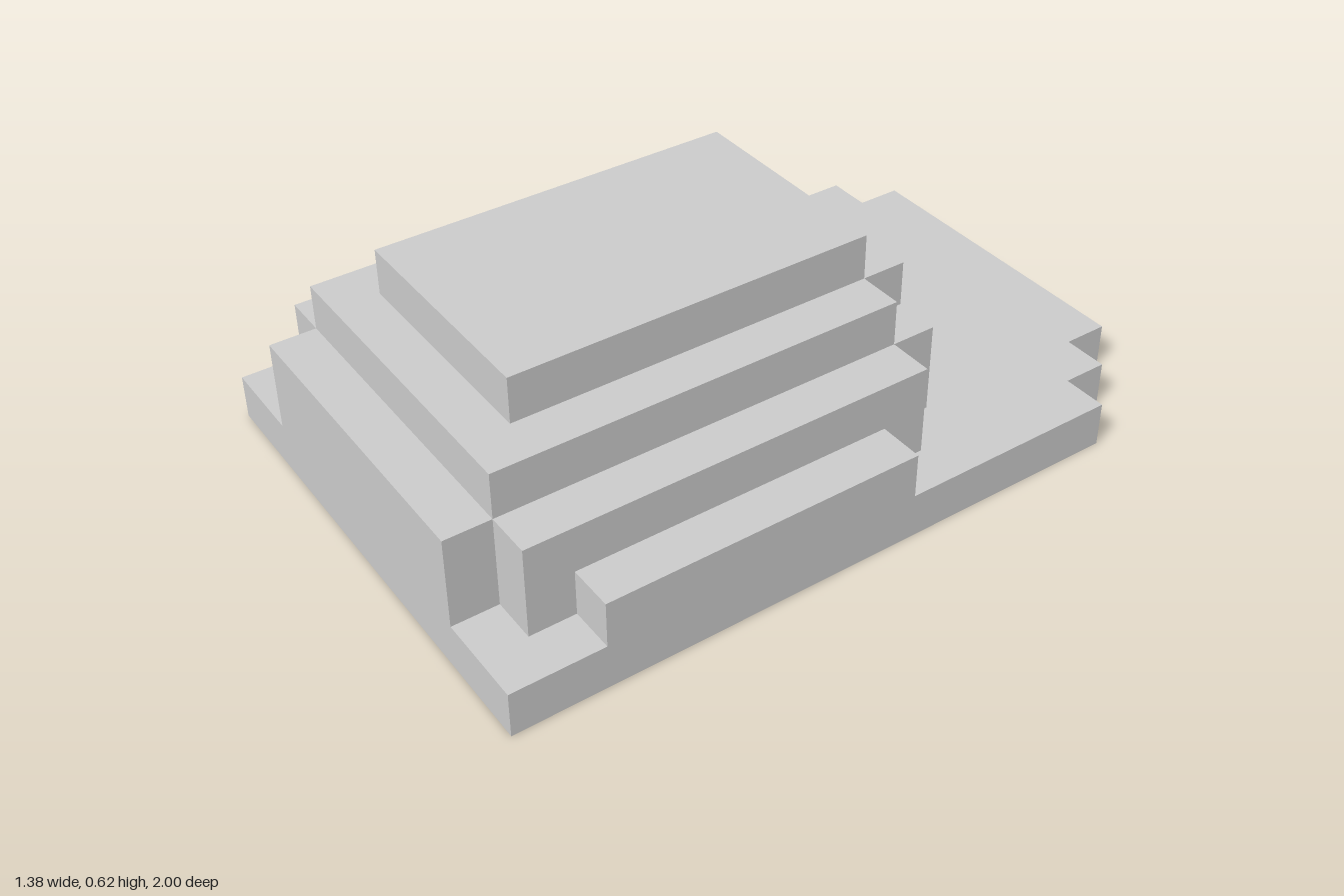
import * as THREE from 'three';

const U = 0.125; // one block

export function createModel() {
  const model = new THREE.Group();
  const material = new THREE.MeshStandardMaterial({ color: 0xcccccc, flatShading: true });

  // Stepped slab, mirrored about x = 0. Each band is [half width, back z, front z]
  // in blocks, listed from front to back.
  function slab(name, bottom, top, bands) {
    const side = bands.flatMap(([w, back, front]) => [[w, front], [w, back]]);
    const outline = [...side, ...side.map(([w, z]) => [-w, z]).reverse()];
    const shape = new THREE.Shape(outline.map(([x, z]) => new THREE.Vector2(x * U, -z * U)));
    const geometry = new THREE.ExtrudeGeometry(shape, { depth: (top - bottom) * U, bevelEnabled: false });
    geometry.rotateX(-Math.PI / 2).translate(0, bottom * U, 0);
    const mesh = new THREE.Mesh(geometry, material);
    mesh.name = name;
    model.add(mesh);
  }

  // Base with stepped rear corners
  slab('base', 0, 1, [[5.5, -6, 8], [4.5, -7, -6], [3.5, -8, -7]]);
  // Main body with notched corners
  slab('body', 1, 3, [[3.5, 7, 8], [4.5, -2, 7], [3.5, -3, -2]]);
  // Upper tier, narrower at the back
  slab('upperTier', 3, 4, [[3.5, -2, 7], [2.5, -3, -2]]);
  // Top cap
  slab('topCap', 4, 5, [[2.5, -2, 6]]);

  // Low ledges along both sides
  for (const s of [1, -1]) {
    const ledge = new THREE.Mesh(new THREE.BoxGeometry(U, U, 7 * U), material);
    ledge.position.set(s * 5 * U, 1.5 * U, 2.5 * U);
    ledge.name = s > 0 ? 'leftLedge' : 'rightLedge';
    model.add(ledge);
  }
  return model;
}
